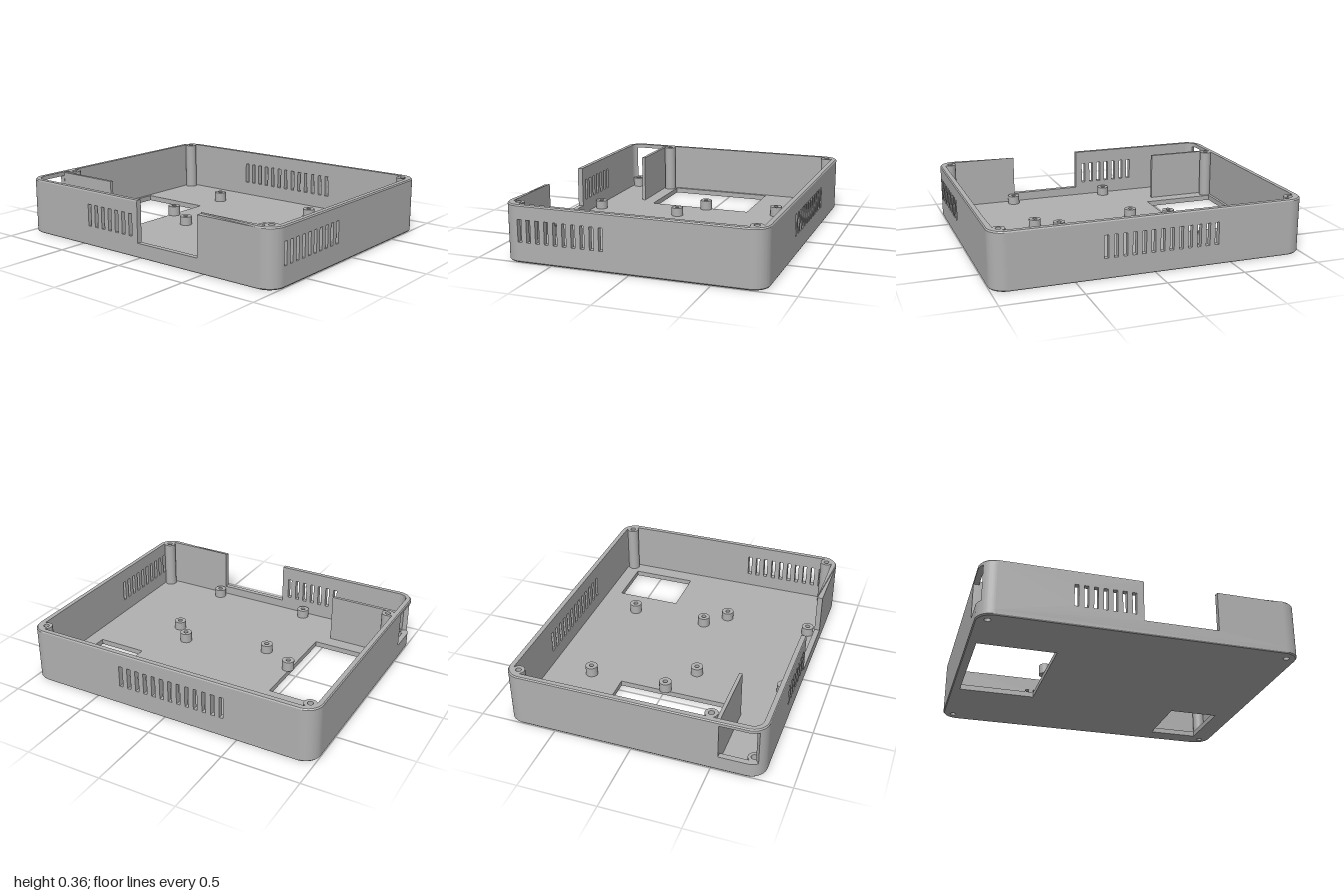
import * as THREE from 'three';
import { toCreasedNormals } from 'three/addons/utils/BufferGeometryUtils.js';

const CX = 0.9, CZ = 0.72, R = 0.1, T = 0.035;   // corner centres, corner radius, wall thickness
const H = 0.36, FLOOR = 0.035, CH = 0.008;       // height, floor thickness, edge chamfer
const GAP0 = -0.015, GAP1 = 0.46;                // front port
const SLOT0 = 0.128, SLOT1 = 0.27, PITCH = 0.0591, SLOT_W = 0.026;
const P = Math.PI;

const polygon = (pts, Type = THREE.Shape) => new Type(pts.map(p => new THREE.Vector2(...p)));
const rect = (x0, y0, x1, y1) => polygon([[x0, y0], [x1, y0], [x1, y1], [x0, y1]], THREE.Path);
const circle = (x, y, r, Type = THREE.Path) => new Type().absarc(x, y, r, 0, 2 * P, false);
const slots = (first, count) => Array.from({ length: count }, (_, i) => {
  const c = first + i * PITCH;
  return rect(c - SLOT_W / 2, SLOT0, c + SLOT_W / 2, SLOT1);
});

// Horizontal slab from a plan drawn in x and z
function slab(shape, y0, y1) {
  return new THREE.ExtrudeGeometry(shape, { depth: y1 - y0, bevelEnabled: false, curveSegments: 10 })
    .rotateX(P / 2).translate(0, y1, 0);
}

// Upright wall from an elevation drawn in length and height
function panel(pts, holes) {
  const s = polygon(pts);
  s.holes.push(...holes);
  return new THREE.ExtrudeGeometry(s, { depth: T, bevelEnabled: false });
}

// Pull the outer outline inward at one height to chamfer the edge
function chamfer(geo, y) {
  const p = geo.attributes.position;
  for (let i = 0; i < p.count; i++) {
    const x = p.getX(i), z = p.getZ(i);
    const d = Math.hypot(Math.max(Math.abs(x) - CX, 0), Math.max(Math.abs(z) - CZ, 0));
    if (Math.abs(p.getY(i) - y) < 1e-4 && d > 0.09) {
      p.setX(i, x * 0.994);
      p.setZ(i, z * 0.994);
    }
  }
  return geo;
}

// Floor plan with its windows and screw holes
function floorPlan() {
  const s = new THREE.Shape();
  s.absarc(CX, CZ, R, 0, P / 2);
  s.absarc(-CX, CZ, R, P / 2, P);
  s.absarc(-CX, -CZ, R, P, 1.5 * P);
  s.absarc(CX, -CZ, R, 1.5 * P, 2 * P);
  s.holes.push(rect(-0.945, -0.285, -0.45, 0.43), rect(0.535, -0.69, 0.865, -0.26));
  for (const x of [-0.93, 0.93]) for (const z of [-0.745, 0.745]) s.holes.push(circle(x, z, 0.02));
  return s;
}

// Rim plan: a ring left open at the front port
function rimPlan() {
  const s = new THREE.Shape(), r = R - T;
  s.moveTo(GAP1, CZ + R);
  s.absarc(CX, CZ, R, P / 2, 0, true);
  s.absarc(CX, -CZ, R, 0, -P / 2, true);
  s.absarc(-CX, -CZ, R, -P / 2, -P, true);
  s.absarc(-CX, CZ, R, P, P / 2, true);
  s.lineTo(GAP0, CZ + R);
  s.lineTo(GAP0, CZ + r);
  s.absarc(-CX, CZ, r, P / 2, P, false);
  s.absarc(-CX, -CZ, r, P, 1.5 * P, false);
  s.absarc(CX, -CZ, r, -P / 2, 0, false);
  s.absarc(CX, CZ, r, 0, P / 2, false);
  s.lineTo(GAP1, CZ + r);
  return s;
}

// Curved corner wall between two angles
function corner(sx, sz, a0, a1, y0, y1) {
  const s = new THREE.Shape();
  s.absarc(sx * CX, sz * CZ, R, a0, a1, false);
  s.absarc(sx * CX, sz * CZ, R - T, a1, a0, true);
  return slab(s, y0, y1);
}

// Round post with a screw hole
function post(x, z, y0, y1, hole) {
  const s = circle(x, z, 0.04, THREE.Shape);
  s.holes.push(circle(x, z, hole));
  return slab(s, y0, y1);
}

export function createModel() {
  const grey = new THREE.MeshStandardMaterial({ color: 0xb0b0b0 });
  grey.name = 'grey plastic';
  const model = new THREE.Group();
  model.name = 'enclosureBase';
  const add = (name, geo) => {
    const m = new THREE.Mesh(toCreasedNormals(geo, 0.5), grey);
    m.name = name;
    model.add(m);
  };

  // Floor and rim
  add('floorEdge', chamfer(slab(floorPlan(), 0, CH), 0));
  add('floor', slab(floorPlan(), CH, FLOOR));
  add('rim', chamfer(slab(rimPlan(), H - CH, H), H));

  // Straight walls
  const b = FLOOR, t = H - CH;
  add('frontWall', panel([[-CX, b], [CX, b], [CX, t], [GAP1, t], [GAP1, 0.092], [GAP0, 0.092], [GAP0, t], [-CX, t]],
    slots(-0.428, 7)).translate(0, 0, CZ + R - T));
  add('backWall', panel([[-CX, b], [CX, b], [CX, t], [-CX, t]], slots(-0.399, 13)).translate(0, 0, -CZ - R));
  add('ventedSideWall', panel([[-CZ, b], [CZ, b], [CZ, t], [-CZ, t]], slots(0.174, 10))
    .rotateY(-P / 2).translate(1, 0, 0));
  add('openSideWall', panel([[-CZ, b], [CZ, b], [CZ, 0.1], [0.545, 0.1], [0.545, 0.333], [CZ, 0.333], [CZ, t], [-CZ, t]], [])
    .rotateY(-P / 2).translate(-1 + T, 0, 0));

  // Corners; the one beside the side port is cut away in the middle
  add('corner', corner(1, 1, 0, P / 2, b, t));
  add('corner', corner(1, -1, -P / 2, 0, b, t));
  add('corner', corner(-1, -1, P, 1.5 * P, b, t));
  add('portCornerBottom', corner(-1, 1, P / 2, P, b, 0.1));
  add('portCornerMiddle', corner(-1, 1, P / 2, P - 0.675, 0.1, 0.333));
  add('portCornerTop', corner(-1, 1, P / 2, P, 0.333, t));

  // Tall lid posts, blocked part way up
  for (const [x, z] of [[0.93, 0.745], [0.93, -0.745], [-0.93, -0.745], [-0.93, 0.48]]) {
    add('lidPost', post(x, z, b, H, 0.018));
    add('lidPostCore', new THREE.CylinderGeometry(0.019, 0.019, 0.1, 20).translate(x, 0.15, z));
  }
  add('shortCornerPost', post(-0.93, 0.745, b, 0.1, 0.02));

  // Board standoffs
  for (const x of [-0.435, 0.35]) for (const z of [-0.5, 0.015]) add('standoff', post(x, z, b, 0.1, 0.015));
  for (const x of [-0.208, 0.48]) for (const z of [0.152, 0.733]) add('standoff', post(x, z, b, 0.092, 0.015));

  // Inner divider beside the side port
  add('divider', new THREE.BoxGeometry(0.45, 0.32, 0.022).translate(-0.743, 0.195, 0.533));

  return model;
}
